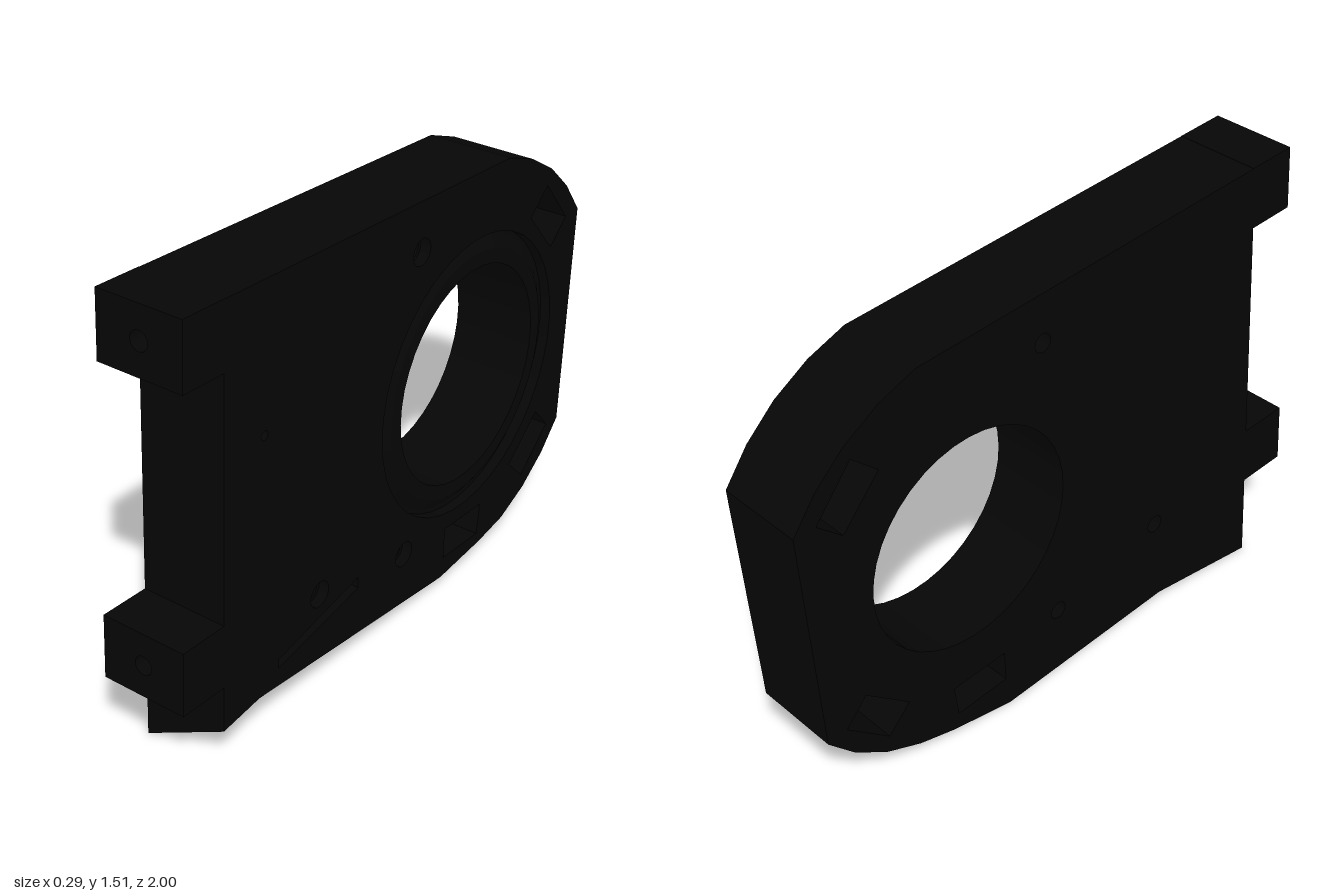
import * as THREE from 'three';

const HALF = 0.145; // half the plate thickness
const STEP = 0.11; // x of the floor of the shallow recesses

// Rim shared by both faces, as [z, y]
const rim = [[0.76, 1.503], [-0.57, 1.41], [-0.70, 1.36], [-0.82, 1.285], [-0.92, 1.19],
  [-1, 1.08], [-0.95, 0.305], [-0.86, 0.21], [-0.745, 0.13], [-0.615, 0.075]];
// Bottom edge on each face: the underside is slanted across the thickness
const bottomMinus = [[-0.48, 0.04], [-0.25, 0], [0.43, 0.05], [0.85, 0]];
const bottomPlus = [[-0.48, 0.055], [-0.25, 0.04], [0.68, 0.163], [0.841, 0.15]];

function outline(x) {
  const t = (x + HALF) / (2 * HALF);
  const bottom = bottomMinus.map(([z, y], i) => [
    z + (bottomPlus[i][0] - z) * t, y + (bottomPlus[i][1] - y) * t]);
  return [...rim, ...bottom];
}

function circle(z, y, r, n = 24) {
  return Array.from({ length: n }, (_, i) => {
    const a = (i / n) * Math.PI * 2;
    return [z + r * Math.cos(a), y + r * Math.sin(a)];
  });
}

// Points in the plane seen from +x, wound the requested way
function loop(points, clockwise) {
  const p = points.map(([z, y]) => new THREE.Vector2(-z, y));
  return THREE.ShapeUtils.isClockWise(p) === clockwise ? p : p.reverse();
}

// Fill loops with upright trapezoids, leaving the holes open
function trapezoids(loops) {
  const edges = loops.flatMap((l) => l.map((p, i) => {
    const q = l[(i + 1) % l.length];
    return p.x < q.x ? [p, q] : [q, p];
  }));
  const cuts = loops.flat().map((p) => p.x).sort((a, b) => a - b)
    .filter((u, i, all) => i === 0 || u - all[i - 1] > 1e-7);
  const at = ([p, q], u) => new THREE.Vector2(u, p.y + (q.y - p.y) * (u - p.x) / (q.x - p.x));
  const quads = [];
  for (let i = 0; i + 1 < cuts.length; i++) {
    const [a, b] = [cuts[i], cuts[i + 1]];
    const mid = (a + b) / 2;
    const span = edges.filter(([p, q]) => p.x < mid && q.x > mid)
      .sort((e, f) => at(e, mid).y - at(f, mid).y);
    for (let k = 0; k + 1 < span.length; k += 2) {
      quads.push([at(span[k], a), at(span[k], b), at(span[k + 1], b), at(span[k + 1], a)]);
    }
  }
  return quads;
}

// Plate slice between two x positions, with pierced holes
function slab(x0, x1, holes) {
  const pos = [];
  const put = (p, x) => pos.push(x, p.y, -p.x);
  const inner = holes.map((h) => loop(h, true));
  const outer0 = loop(outline(x0), false);
  const outer1 = loop(outline(x1), false);

  // side walls
  [[outer0, outer1], ...inner.map((h) => [h, h])].forEach(([a, b]) => {
    a.forEach((p, i) => {
      const j = (i + 1) % a.length;
      put(p, x0); put(a[j], x0); put(b[j], x1);
      put(p, x0); put(b[j], x1); put(b[i], x1);
    });
  });

  // two faces
  trapezoids([outer0, ...inner]).forEach(([a, b, c, d]) => [a, c, b, a, d, c].forEach((p) => put(p, x0)));
  trapezoids([outer1, ...inner]).forEach(([a, b, c, d]) => [a, b, c, a, c, d].forEach((p) => put(p, x1)));

  const g = new THREE.BufferGeometry();
  g.setAttribute('position', new THREE.Float32BufferAttribute(pos, 3));
  g.computeVertexNormals();
  return g;
}

export function createModel() {
  const model = new THREE.Group();
  model.name = 'mountingPlate';
  const black = new THREE.MeshStandardMaterial({ color: 0x060606 });
  black.name = 'blackPlastic';

  const add = (name, geometry) => {
    const mesh = new THREE.Mesh(geometry, black);
    mesh.name = name;
    model.add(mesh);
    return mesh;
  };

  // Rectangular windows around the main bore
  const windows = [
    [[-0.71, 1.155], [-0.80, 1.235], [-0.925, 1.08], [-0.84, 1.005]],
    [[-0.65, 0.27], [-0.805, 0.40], [-0.88, 0.315], [-0.73, 0.185]],
    [[-0.27, 0.22], [-0.475, 0.205], [-0.46, 0.095], [-0.265, 0.11]],
  ];
  const screws = [[-0.11, 1.28], [0.39, 0.36], [-0.04, 0.255]];
  const bore = [-0.39, 0.735];

  // Main thickness with the through holes
  add('plateBody', slab(-HALF, STEP, [
    circle(...bore, 0.365, 40),
    ...windows,
    ...screws.map(([z, y]) => circle(z, y, 0.03)),
  ]));

  // Outer layer with the wider recesses
  add('recessedFace', slab(STEP, HALF, [
    circle(...bore, 0.47, 40),
    ...windows,
    ...screws.map(([z, y]) => circle(z, y, 0.043)),
    circle(0.62, 1.03, 0.015, 12),
    [[0.59, 0.245], [0.2, 0.31], [0.2, 0.27], [0.59, 0.215]],
  ]));

  // Lip around the bore, sloping down into the ring groove
  const lipProfile = [[0.455, STEP], [0.415, HALF - 0.008], [0.365, HALF - 0.008], [0.365, STEP]];
  const lipGeometry = new THREE.LatheGeometry(
    lipProfile.map(([r, x]) => new THREE.Vector2(r, x)), 40).toNonIndexed();
  lipGeometry.computeVertexNormals();
  const lip = add('boreLip', lipGeometry);
  lip.rotation.z = -Math.PI / 2;
  lip.position.set(0, bore[1], bore[0]);

  // Front lugs with screw holes, tilted like the plate's edge
  [['upperLug', 1.41, 0.925, 0.165], ['lowerLug', 0.42, 0.995, 0.19]].forEach(([name, y, z, depth]) => {
    const shape = new THREE.Shape([
      new THREE.Vector2(-HALF, -0.105), new THREE.Vector2(HALF, -0.105),
      new THREE.Vector2(HALF, 0.105), new THREE.Vector2(-HALF, 0.105)]);
    shape.holes.push(new THREE.Path().absarc(0, 0, 0.03, 0, Math.PI * 2, true));
    const g = new THREE.ExtrudeGeometry(shape, { depth, bevelEnabled: false, curveSegments: 20 });
    g.translate(0, 0, -depth);
    const lug = add(name, g);
    lug.position.set(0, y, z);
    lug.rotation.x = -0.068;
  });

  return model;
}
